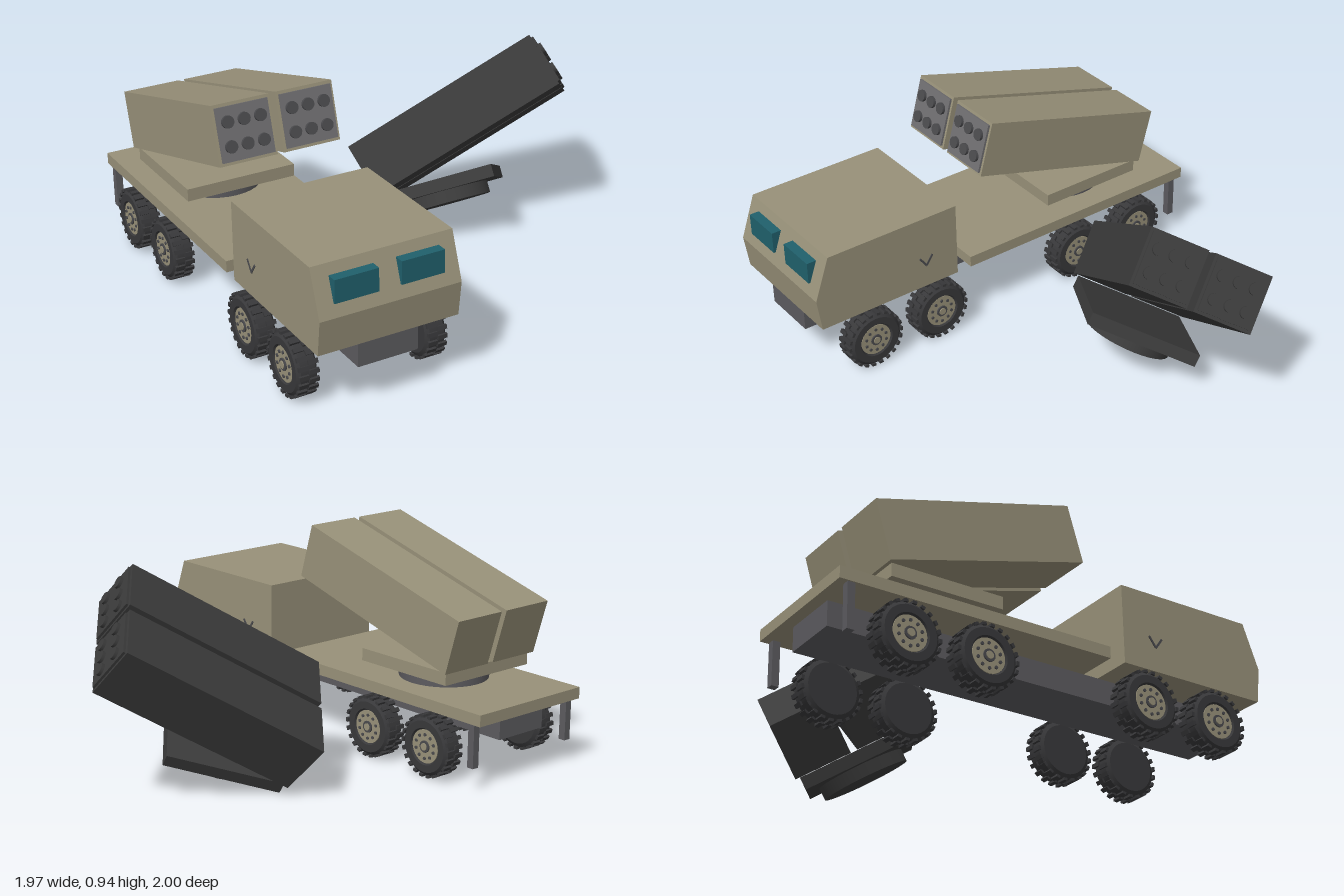
import * as THREE from 'three';
import { toCreasedNormals } from 'three/addons/utils/BufferGeometryUtils.js';

function material(name, color) {
  const m = new THREE.MeshStandardMaterial({ color });
  m.name = name;
  return m;
}

const tan = material('tan paint', 0x989179);
const frame = material('chassis grey', 0x5c5b5f);
const panelGrey = material('panel grey', 0x6f6e70);
const capGrey = material('cap grey', 0x4a4a4d);
const rubber = material('tyre rubber', 0x38383a);
const glass = material('window teal', 0x20606c);
const charcoal = material('charcoal', 0x3b3b3b);

function add(parent, name, geometry, mat, x = 0, y = 0, z = 0) {
  const mesh = new THREE.Mesh(geometry, mat);
  mesh.name = name;
  mesh.position.set(x, y, z);
  parent.add(mesh);
  return mesh;
}
const box = (w, h, d) => new THREE.BoxGeometry(w, h, d);
const disc = (r, h, n = 24) => new THREE.CylinderGeometry(r, r, h, n);

function group(parent, name, x = 0, y = 0, z = 0) {
  const g = new THREE.Group();
  g.name = name;
  g.position.set(x, y, z);
  parent.add(g);
  return g;
}

// Wheel built along y, with the outer face on +y
const tyreProfile = [[0, -0.045], [0.108, -0.045], [0.127, -0.032], [0.127, 0.032],
  [0.112, 0.046], [0.08, 0.046], [0.074, 0.036], [0, 0.036]].map(p => new THREE.Vector2(...p));
const tyreGeo = toCreasedNormals(new THREE.LatheGeometry(tyreProfile, 32), 0.5);
const lugGeo = box(0.012, 0.042, 0.018);
const hubGeo = disc(0.073, 0.006, 28);
const boltGeo = disc(0.007, 0.008, 8);

function buildWheel(parent, name, x, z, side) {
  const turn = group(parent, name, x, 0.138, z);
  if (side < 0) turn.rotation.y = Math.PI;
  const wheel = group(turn, 'wheelBody');
  wheel.rotation.z = -Math.PI / 2;
  add(wheel, 'tyre', tyreGeo, rubber);
  // Two staggered rows of tread lugs
  const count = 22;
  for (let i = 0; i < count; i++) {
    for (const row of [-1, 1]) {
      const a = ((i + (row > 0 ? 0.5 : 0)) / count) * Math.PI * 2;
      const lug = add(wheel, 'treadLug', lugGeo, rubber,
        Math.cos(a) * 0.13, row * 0.022, Math.sin(a) * 0.13);
      lug.rotation.y = -a;
    }
  }
  // Rim, bolts and centre cap
  add(wheel, 'rim', hubGeo, tan, 0, 0.037, 0);
  for (let i = 0; i < 10; i++) {
    const a = (i / 10) * Math.PI * 2;
    add(wheel, 'rimBolt', boltGeo, capGrey, Math.cos(a) * 0.052, 0.041, Math.sin(a) * 0.052);
  }
  add(wheel, 'hubRing', disc(0.026, 0.01, 16), capGrey, 0, 0.041, 0);
  add(wheel, 'hubCap', disc(0.016, 0.012, 16), tan, 0, 0.044, 0);
}

// Launcher on its turntable; the origin is the centre of the turntable's underside
function buildLauncher(parent, name, paint, ring, panel, cap) {
  const g = group(parent, name);
  add(g, 'turntable', disc(0.195, 0.056, 32), ring, 0, 0.028, 0);
  add(g, 'platform', box(0.5, 0.055, 0.5), paint, 0, 0.0825, 0);
  // Raised pods hinge at the rear edge
  const pods = group(g, 'pods', 0, 0.11, -0.265);
  pods.rotation.x = THREE.MathUtils.degToRad(-15.9);
  for (const s of [-1, 1]) {
    const pod = group(pods, s > 0 ? 'leftPod' : 'rightPod', s * 0.1425, 0.1245, 0.465);
    add(pod, 'podCase', box(0.255, 0.249, 0.93), paint);
    add(pod, 'podFace', box(0.232, 0.222, 0.012), panel, 0, 0, 0.469);
    for (const col of [-1, 0, 1]) {
      for (const row of [-1, 1]) {
        const c = add(pod, 'tubeCap', disc(0.026, 0.016, 16), cap, col * 0.072, row * 0.05, 0.48);
        c.rotation.x = Math.PI / 2;
      }
    }
  }
  return g;
}

export function createModel() {
  const model = new THREE.Group();
  model.name = 'launcherTruck';
  const truck = group(model, 'truck', -0.65, 0, 0);

  // Cab extruded across x from its side outline
  const outline = new THREE.Shape([[0.29, 0.29], [0.98, 0.29], [1, 0.44], [0.93, 0.635], [0.29, 0.635]]
    .map(p => new THREE.Vector2(...p)));
  const cabGeo = new THREE.ExtrudeGeometry(outline, { depth: 0.61, bevelEnabled: false });
  cabGeo.translate(0, 0, -0.305);
  cabGeo.rotateY(-Math.PI / 2);
  add(truck, 'cab', cabGeo, tan);

  // Chassis and load bed
  add(truck, 'chassis', box(0.26, 0.105, 1.92), frame, 0, 0.2375, 0.01);
  add(truck, 'bed', box(0.61, 0.05, 1.22), tan, 0, 0.315, -0.39);

  for (const s of [-1, 1]) {
    const label = s > 0 ? 'left' : 'right';
    add(truck, label + 'Window', box(0.187, 0.098, 0.06), glass, s * 0.142, 0.542, 0.96);
    add(truck, label + 'RearLeg', box(0.032, 0.19, 0.032), frame, s * 0.283, 0.195, -0.947);
    // Chevron on the cab side
    for (const arm of [-1, 1]) {
      const bar = add(truck, label + 'Chevron', box(0.004, 0.056, 0.009), capGrey,
        s * 0.306, 0.418, 0.451 + arm * 0.016);
      bar.rotation.x = arm * 0.62;
    }
    [0.737, 0.395, -0.37, -0.713].forEach((z, i) =>
      buildWheel(truck, label + 'Wheel' + (i + 1), s * 0.283, z, s));
  }

  // Mounted launcher
  const mounted = buildLauncher(truck, 'mountedLauncher', tan, frame, panelGrey, capGrey);
  mounted.position.set(0, 0.34, -0.5);

  // Detached dark launcher, tilted beside the truck
  const loose = buildLauncher(model, 'detachedLauncher', charcoal, charcoal, charcoal, charcoal);
  const forward = new THREE.Vector3(0.828, 0.296, 0.495).normalize();
  const across = new THREE.Vector3(-0.019, 0.837, -0.529).cross(forward).normalize();
  const up = forward.clone().cross(across);
  loose.quaternion.setFromRotationMatrix(new THREE.Matrix4().makeBasis(across, up, forward));
  loose.position.set(0.314, 0.133, -0.132);

  return model;
}
